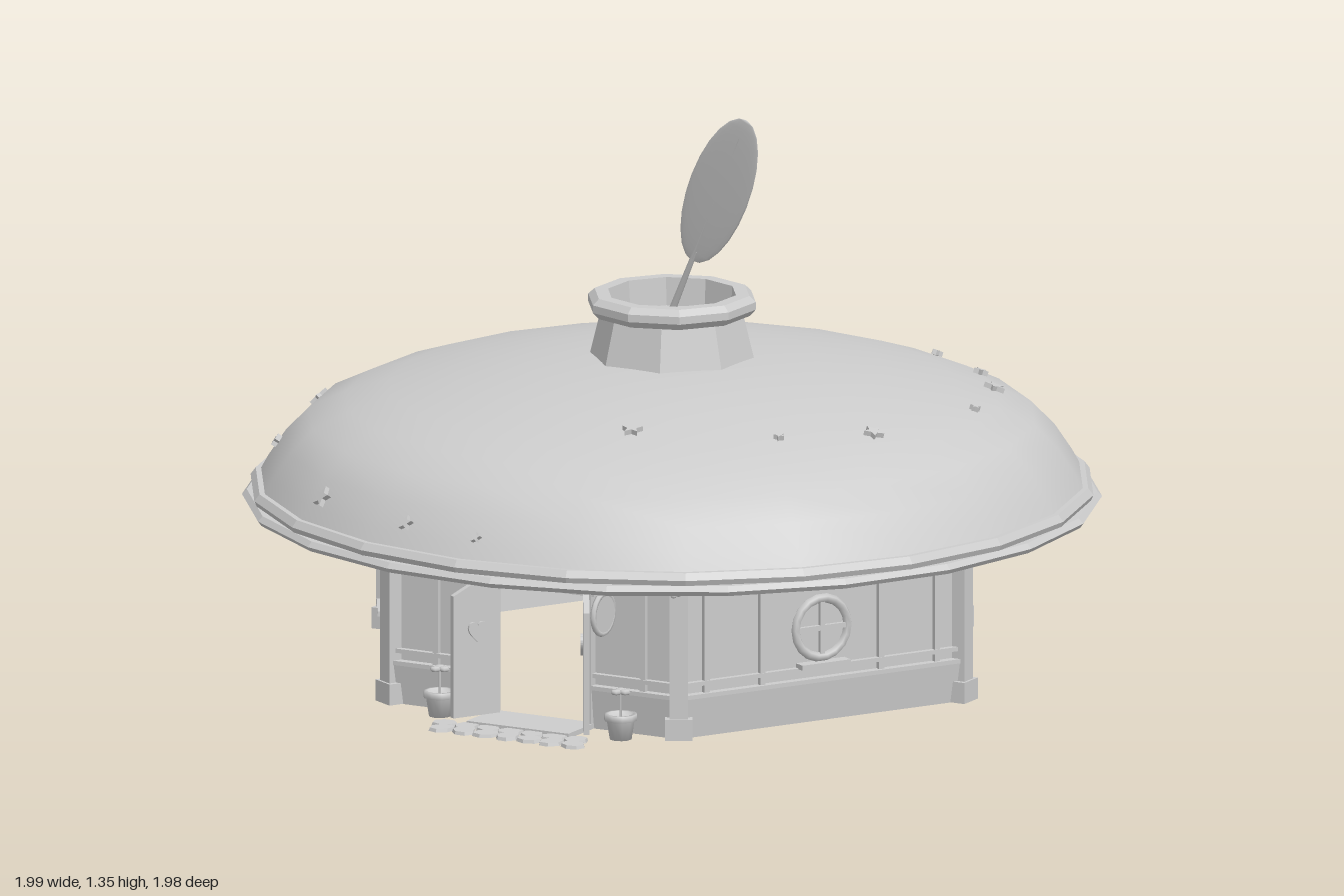
import * as THREE from 'three';

const stone = new THREE.MeshStandardMaterial({ color: 0xcccccc, side: THREE.DoubleSide });
stone.name = 'plain grey';

const V2 = (x, y) => new THREE.Vector2(x, y);
const V3 = (x, y, z) => new THREE.Vector3(x, y, z);

function add(parent, name, geo, x = 0, y = 0, z = 0) {
  const m = new THREE.Mesh(geo, stone);
  m.name = name;
  m.position.set(x, y, z);
  parent.add(m);
  return m;
}
const box = (p, name, w, h, d, x, y, z) => add(p, name, new THREE.BoxGeometry(w, h, d), x, y, z);
function group(parent, name, x = 0, y = 0, z = 0) {
  const g = new THREE.Group();
  g.name = name;
  g.position.set(x, y, z);
  parent.add(g);
  return g;
}
function flat(geo) {
  const g = geo.toNonIndexed();
  g.computeVertexNormals();
  return g;
}
const lathe = (pts, n, start = 0) => new THREE.LatheGeometry(pts.map(p => V2(...p)), n, start);

function heartShape(s) {
  const h = new THREE.Shape();
  h.moveTo(0, -s);
  h.bezierCurveTo(-0.5 * s, -0.5 * s, -s, -0.1 * s, -s, 0.4 * s);
  h.bezierCurveTo(-s, 1.1 * s, -0.1 * s, 1.1 * s, 0, 0.55 * s);
  h.bezierCurveTo(0.1 * s, 1.1 * s, s, 1.1 * s, s, 0.4 * s);
  h.bezierCurveTo(s, -0.1 * s, 0.5 * s, -0.5 * s, 0, -s);
  return h;
}
function starShape(r) {
  const pts = [];
  for (let i = 0; i < 10; i++) {
    const a = i * Math.PI / 5 + Math.PI / 2, q = i % 2 ? r * 0.45 : r;
    pts.push(V2(q * Math.cos(a), q * Math.sin(a)));
  }
  return new THREE.Shape(pts);
}
const extrude = (shape, depth) => new THREE.ExtrudeGeometry(shape, { depth, bevelEnabled: false, curveSegments: 8 });

const R = 0.76, APO = R * Math.cos(Math.PI / 6), TOP = 0.42, DOOR = 0.025, TURN = 0.028;
const ROOF = [[0.965, 0.43], [0.94, 0.475], [0.9, 0.535], [0.845, 0.592], [0.76, 0.632], [0.66, 0.665], [0.5, 0.7], [0.34, 0.725], [0.17, 0.738], [0, 0.74]];

function roundWindow(w) {
  const g = group(w, 'roundWindow', 0, 0.22, 0.008);
  add(g, 'windowFrame', new THREE.TorusGeometry(0.07, 0.011, 6, 18));
  add(g, 'windowPane', new THREE.CircleGeometry(0.07, 18), 0, 0, -0.004);
  box(g, 'muntin', 0.012, 0.14, 0.012, 0, 0, 0);
  box(g, 'muntin', 0.14, 0.012, 0.012, 0, 0, 0);
  box(g, 'windowSill', 0.13, 0.012, 0.03, 0, -0.085, 0.008);
}
function heartWindow(w) {
  const g = group(w, 'heartWindow', 0, 0.22, 0.002);
  const frame = heartShape(0.072);
  frame.holes.push(new THREE.Path(heartShape(0.064).getPoints(8)));
  add(g, 'heartFrame', extrude(frame, 0.01));
  add(g, 'heartPane', new THREE.ShapeGeometry(heartShape(0.064)), 0, 0, 0.002);
  box(g, 'heartSill', 0.16, 0.014, 0.03, 0, -0.072, 0.01);
}

// One of six wall sides, drawn in its own frame with z pointing outward
function wallSide(house, i) {
  const a = i * Math.PI / 3;
  const w = group(house, 'wallSide', Math.sin(a) * APO, 0, Math.cos(a) * APO);
  w.rotation.y = a;
  const L = R / 2, front = i === 0;
  const l = DOOR - 0.125, r = DOOR + 0.125;
  const outline = front
    ? [[-L, 0], [l, 0], [l, 0.32], [r, 0.32], [r, 0], [L, 0], [L, TOP], [-L, TOP]]
    : [[-L, 0], [L, 0], [L, TOP], [-L, TOP]];
  add(w, 'wallPanel', new THREE.ShapeGeometry(new THREE.Shape(outline.map(p => V2(...p)))));
  const spans = front ? [[-L, l], [r, L]] : [[-L, L]];
  for (const [x0, x1] of spans) {
    const c = (x0 + x1) / 2, len = x1 - x0;
    box(w, 'wallSkirt', len, 0.096, 0.014, c, 0.048, 0.006).rotation.x = 0.12;
    box(w, 'lowerRail', len, 0.01, 0.024, c, 0.098, 0.008);
    box(w, 'upperRail', len, 0.01, 0.016, c, 0.126, 0.006);
  }
  box(w, 'topRail', 2 * L, 0.016, 0.02, 0, 0.385, 0.006);
  for (const x of front ? [-0.26, 0.29] : [-0.31, -0.16, 0.16, 0.31])
    box(w, 'stud', 0.014, 0.29, 0.014, x, 0.24, 0.005);
  if (front) doorway(w);
  else if (i === 2 || i === 4) heartWindow(w);
  else roundWindow(w);
}

function doorway(w) {
  // Arch over the opening
  const arch = add(w, 'doorArch', new THREE.TorusGeometry(0.13, 0.01, 6, 16, Math.PI), DOOR, 0.32, 0.01);
  arch.scale.y = 0.6;
  box(w, 'lintel', 0.28, 0.014, 0.02, DOOR, 0.322, 0.008);
  for (const s of [-1, 1]) {
    box(w, 'doorJamb', 0.014, 0.32, 0.024, DOOR + s * 0.127, 0.16, 0.008);
    // Door leaf swung open, with a pointed top and heart
    const leaf = group(w, 'doorLeaf', DOOR + s * 0.122, 0.012, 0.01);
    leaf.rotation.y = -s * Math.PI / 3;
    const sh = new THREE.Shape([V2(0, 0), V2(s * 0.125, 0), V2(s * 0.125, 0.29), V2(s * 0.06, 0.32), V2(0, 0.29)]);
    add(leaf, 'doorPanel', extrude(sh, 0.014));
    add(leaf, 'doorHeart', extrude(heartShape(0.025), 0.006), s * 0.062, 0.2, 0.014);
    // Potted plant beside the door
    const pot = group(w, 'flowerPot', DOOR + s * 0.24, 0, 0.07);
    add(pot, 'pot', lathe([[0, 0], [0.026, 0], [0.033, 0.045], [0.039, 0.045], [0.039, 0.06], [0.03, 0.06], [0.028, 0.05], [0, 0.05]], 10));
    add(pot, 'plantStem', new THREE.CylinderGeometry(0.003, 0.003, 0.07, 5), 0, 0.08, 0);
    for (let k = 0; k < 3; k++) {
      const t = k * 2.1;
      const leafMesh = add(pot, 'plantLeaf', new THREE.SphereGeometry(0.014, 6, 4), 0.012 * Math.cos(t), 0.112, 0.012 * Math.sin(t));
      leafMesh.scale.y = 0.5;
    }
  }
  // Round sign hung out from the wall
  const sign = add(w, 'roundSign', new THREE.CylinderGeometry(0.05, 0.05, 0.012, 18), 0.23, 0.297, 0.09);
  sign.rotation.z = Math.PI / 2;
  const rim = add(w, 'signRim', new THREE.TorusGeometry(0.047, 0.007, 6, 18), 0.23, 0.297, 0.09);
  rim.rotation.y = Math.PI / 2;
  box(w, 'signBracket', 0.01, 0.01, 0.11, 0.23, 0.355, 0.055);
  // Step and cobbled path
  box(w, 'doorStep', 0.27, 0.012, 0.13, DOOR, 0.006, 0.065);
  for (let row = 0; row < 2; row++) for (let k = 0; k < 7; k++) {
    const cob = add(w, 'cobble', flat(new THREE.CylinderGeometry(0.03, 0.033, 0.008, 7)),
      DOOR + (k - 3) * 0.058 + row * 0.018 - 0.009, 0.004, 0.148 + row * 0.045);
    cob.rotation.y = k * 1.3 + row;
    cob.scale.z = 0.85;
  }
}

function cornerPost(house, i) {
  const a = i * Math.PI / 3 + Math.PI / 6;
  const p = group(house, 'cornerPost', Math.sin(a) * R, 0, Math.cos(a) * R);
  p.rotation.y = a;
  box(p, 'postShaft', 0.042, TOP, 0.042, 0, TOP / 2, 0);
  box(p, 'postBase', 0.064, 0.05, 0.054, 0, 0.025, 0);
  box(p, 'postCap', 0.055, 0.03, 0.05, 0, 0.375, 0);
  // Curved eave brace with little lamps
  const curve = new THREE.QuadraticBezierCurve3(V3(0, 0.395, 0), V3(0.03, 0.4, 0.13), V3(-0.03, 0.408, 0.2));
  add(p, 'eaveBrace', new THREE.TubeGeometry(curve, 8, 0.01, 6));
  for (let k = 1; k < 5; k++) {
    const q = curve.getPoint(0.25 + k * 0.15);
    add(p, 'eaveLamp', new THREE.SphereGeometry(0.007, 6, 4), q.x, q.y - 0.025, q.z);
  }
}

function roof(model) {
  const g = group(model, 'roof');
  add(g, 'roofDome', lathe(ROOF, 22));
  add(g, 'upperRim', flat(lathe([[0.94, 0.412], [0.975, 0.412], [0.982, 0.428], [0.97, 0.444], [0.945, 0.444], [0.94, 0.412]], 22)));
  add(g, 'lowerRim', flat(lathe([[0.95, 0.392], [0.988, 0.392], [0.996, 0.403], [0.985, 0.415], [0.95, 0.415], [0.95, 0.392]], 22, 0.1)));
  // Scattered stars resting on the dome: x, z, size
  const stars = [[-0.17, -0.8, 0.02], [-0.45, -0.71, 0.015], [0.27, -0.74, 0.014], [0.49, -0.57, 0.018], [0.6, -0.45, 0.026],
    [0.69, -0.21, 0.013], [-0.78, -0.37, 0.022], [-0.88, -0.08, 0.014], [-0.88, 0.11, 0.026], [-0.81, 0.42, 0.016],
    [-0.46, 0.8, 0.026], [0.21, 0.53, 0.025], [0.51, 0.37, 0.013], [0.65, 0.18, 0.025], [-0.17, 0.91, 0.019], [0.03, 0.93, 0.013]];
  for (const [x, z, s] of stars) {
    const r = Math.hypot(x, z);
    const k = ROOF.findIndex((p, j) => j > 0 && p[0] <= r);
    const [r0, y0] = ROOF[k - 1], [r1, y1] = ROOF[k];
    const y = y0 + (y1 - y0) * (r0 - r) / (r0 - r1);
    const n = V3(x / r * (y1 - y0), r0 - r1, z / r * (y1 - y0)).normalize();
    const star = add(g, 'roofStar', extrude(starShape(s), 0.012), x, y, z);
    star.lookAt(star.position.clone().add(n));
  }
}

// Flat underside of the eaves, open over the rooms
function soffit(house) {
  const ring = (r, n, turn) => Array.from({ length: n }, (_, i) => {
    const a = i * 2 * Math.PI / n + turn;
    return V2(r * Math.cos(a), r * Math.sin(a));
  });
  const shape = new THREE.Shape(ring(0.955, 22, 0));
  shape.holes.push(new THREE.Path(ring(R, 6, 0)));
  add(house, 'soffit', new THREE.ShapeGeometry(shape), 0, TOP, 0).rotation.x = Math.PI / 2;
}

function chimney(model) {
  const g = group(model, 'chimney');
  add(g, 'chimneyBody', flat(lathe([[0.197, 0.715], [0.165, 0.845]], 8, Math.PI / 8)));
  add(g, 'chimneyRim', flat(lathe([[0.16, 0.838], [0.184, 0.838], [0.199, 0.854], [0.199, 0.872], [0.184, 0.886], [0.152, 0.886], [0.147, 0.82], [0, 0.82]], 10)));
  // Leaning feather
  const f = group(model, 'feather', 0.01, 0.86, 0.005);
  f.rotation.set(0.19, 0, -0.47);
  add(f, 'quill', new THREE.CylinderGeometry(0.006, 0.009, 0.2, 6), 0, 0.06, 0);
  const vane = add(f, 'vane', new THREE.SphereGeometry(1, 20, 12), 0, 0.342, 0);
  vane.scale.set(0.078, 0.212, 0.006);
  add(f, 'vein', new THREE.CylinderGeometry(0.001, 0.003, 0.36, 5), 0, 0.32, 0.004);
}

export function createModel() {
  const model = new THREE.Group();
  model.name = 'roundRoofHouse';
  const house = group(model, 'house', 0, 0, -0.012);
  house.rotation.y = TURN;
  for (let i = 0; i < 6; i++) {
    wallSide(house, i);
    cornerPost(house, i);
  }
  soffit(house);
  roof(model);
  chimney(model);
  return model;
}
